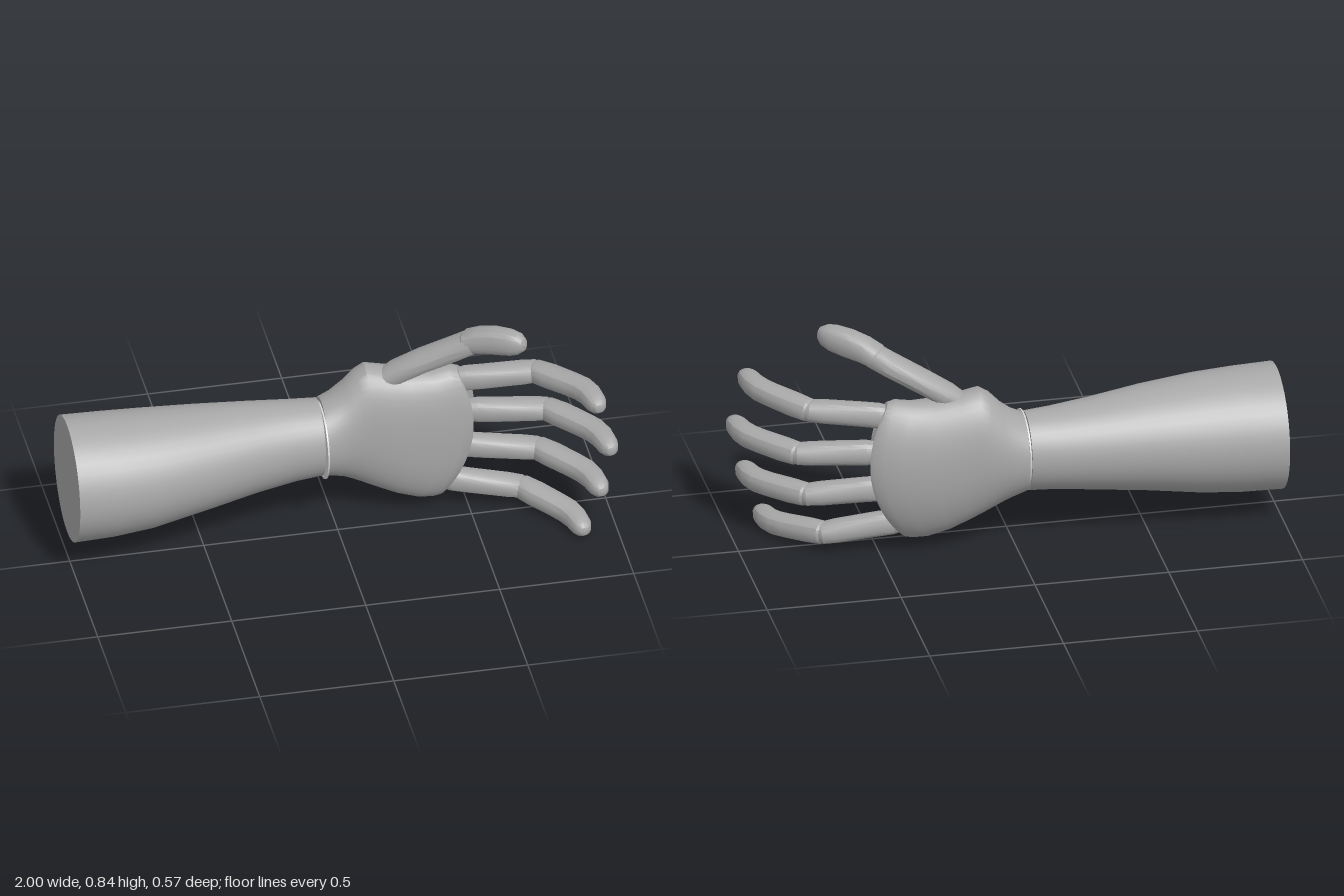
import * as THREE from 'three';
import { toCreasedNormals } from 'three/addons/utils/BufferGeometryUtils.js';

const V = (x, y, z) => new THREE.Vector3(x, y, z);

// Skin a list of rings (arrays of points running from +y towards +z) and cap both ends
function loft(rings, crease = 0.6) {
  const n = rings[0].length, pos = [], idx = [];
  rings.forEach(r => r.forEach(p => pos.push(p.x, p.y, p.z)));
  for (let i = 0; i < rings.length - 1; i++)
    for (let j = 0; j < n; j++) {
      const k = (j + 1) % n, a = i * n + j, b = i * n + k;
      idx.push(a, b, b + n, a, b + n, a + n);
    }
  [0, rings.length - 1].forEach((i, end) => {
    const c = V(0, 0, 0);
    rings[i].forEach(p => c.addScaledVector(p, 1 / n));
    const m = pos.length / 3;
    pos.push(c.x, c.y, c.z);
    for (let j = 0; j < n; j++) {
      const a = i * n + j, b = i * n + (j + 1) % n;
      if (end) idx.push(m, a, b); else idx.push(m, b, a);
    }
  });
  const g = new THREE.BufferGeometry();
  g.setAttribute('position', new THREE.Float32BufferAttribute(pos, 3));
  g.setIndex(idx);
  return toCreasedNormals(g.toNonIndexed(), crease);
}

// Unit superellipse, power 2 = round, higher = squarer; front and back halves may differ
function outline(n, front, back = front) {
  return Array.from({ length: n }, (_, j) => {
    const a = j / n * Math.PI * 2, c = Math.cos(a), s = Math.sin(a), e = 2 / (s > 0 ? front : back);
    return [Math.sign(c) * Math.abs(c) ** e, Math.sign(s) * Math.abs(s) ** e];
  });
}

// Section across x given its y and z limits
function section(x, y0, y1, z0, z1, front = 2, back = 2) {
  return outline(40, front, back).map(([c, s]) =>
    V(x, (y0 + y1) / 2 + c * (y1 - y0) / 2, (z0 + z1) / 2 + s * (z1 - z0) / 2));
}

// Limb along a path; each stop is [x, y, z, radius across, radius in depth]
function limb(stops) {
  const pts = stops.map(s => V(s[0], s[1], s[2]));
  const rings = stops.map((s, i) => {
    const t = pts[Math.min(i + 1, pts.length - 1)].clone().sub(pts[Math.max(i - 1, 0)]).normalize();
    const v = t.clone().cross(V(0, 1, 0)).normalize(), u = v.clone().cross(t);
    return outline(14, 2.4).map(([c, d]) =>
      pts[i].clone().addScaledVector(u, c * s[3]).addScaledVector(v, d * s[4]));
  });
  return loft(rings, 0.5);
}

export function createModel() {
  const model = new THREE.Group();
  const grey = new THREE.MeshStandardMaterial({ color: 0xa8a8a8 });
  grey.name = 'grey';
  const light = new THREE.MeshStandardMaterial({ color: 0xd4d4d4 });
  light.name = 'lightGrey';
  const add = (name, geo, parent = model, mat = grey) => {
    const m = new THREE.Mesh(geo, mat);
    m.name = name;
    parent.add(m);
  };

  // Forearm: x, y limits, z limits
  add('forearm', loft([
    [-1, 0.097, 0.567, -0.284, 0.189],
    [-0.85, 0.1, 0.563, -0.281, 0.182],
    [-0.7, 0.113, 0.556, -0.275, 0.167],
    [-0.5, 0.147, 0.54, -0.265, 0.128],
    [-0.3, 0.176, 0.52, -0.252, 0.075],
    [-0.15, 0.195, 0.506, -0.24, 0.045],
    [-0.05, 0.2, 0.5, -0.232, 0.03],
  ].map(s => section(...s))));

  // Thin disc in the wrist seam
  add('wristDisc', loft([-0.049, -0.043].map(x => section(x, 0.205, 0.495, -0.226, 0.068))), model, light);

  // Palm: position along the hand, y limits, z limits, squareness of the front half
  const palm = [
    [0, 0.2, 0.5, -0.232, 0.03, 2],
    [0.08, 0.187, 0.522, -0.234, 0.016, 2.1],
    [0.17, 0.172, 0.56, -0.237, 0.006, 2.2],
    [0.25, 0.154, 0.605, -0.24, 0.001, 2.3],
    [0.32, 0.138, 0.627, -0.241, 0, 2.4],
    [0.45, 0.108, 0.612, -0.238, 0, 2.5],
    [0.62, 0.073, 0.594, -0.23, 0, 2.7],
    [0.8, 0.048, 0.588, -0.212, -0.003, 2.8],
    [0.92, 0.044, 0.598, -0.192, -0.01, 2.8],
    [0.98, 0.048, 0.59, -0.177, -0.018, 2.8],
    [1, 0.056, 0.575, -0.166, -0.027, 2.8],
  ].map(([t, y0, y1, z0, z1, p]) => section(0, y0, y1, z0, z1, p, 2.1).map(q => {
    // Knuckle line bows forward in the middle, slants back at the little finger and under the palm
    const v = (q.y - y0) / (y1 - y0);
    const end = 0.42 + 0.07 * v + 0.34 * v * (1 - v) - 0.03 * (q.z - z0) / (z1 - z0);
    return V(-0.04 + t * (end + 0.04), q.y, q.z);
  }));
  add('palm', loft(palm, 0.7));

  // Fingers: name, shift along x, base height, tip height, depth scale
  [
    ['indexFinger', -0.043, 0.535, 0.583, 0.97],
    ['middleFinger', 0, 0.395, 0.395, 1],
    ['ringFinger', -0.033, 0.25, 0.213, 0.96],
    ['littleFinger', -0.095, 0.115, 0.038, 0.9],
  ].forEach(([name, dx, y0, y1, k]) => {
    const finger = new THREE.Group();
    finger.name = name;
    model.add(finger);
    const path = list => list.map(([x, z, r, d]) =>
      [x + dx, y0 + (y1 - y0) * (x - 0.48) / 0.47, z > 0 ? z * k : z, r, d]);
    add('lowerSegment', limb(path([
      [0.48, -0.098, 0.036, 0.03], [0.54, -0.089, 0.046, 0.042], [0.6, -0.077, 0.045, 0.044],
      [0.74, -0.053, 0.042, 0.049], [0.79, -0.044, 0.038, 0.047], [0.812, -0.035, 0.026, 0.03],
    ])), finger);
    add('upperSegment', limb(path([
      [0.774, -0.058, 0.028, 0.03], [0.79, -0.042, 0.041, 0.045], [0.832, 0.005, 0.043, 0.049],
      [0.897, 0.085, 0.042, 0.047], [0.929, 0.13, 0.042, 0.046], [0.949, 0.18, 0.04, 0.043],
      [0.959, 0.235, 0.037, 0.039], [0.963, 0.264, 0.029, 0.03], [0.965, 0.279, 0.017, 0.017],
      [0.966, 0.284, 0.004, 0.004],
    ])), finger);
  });

  // Thumb
  const thumb = new THREE.Group();
  thumb.name = 'thumb';
  model.add(thumb);
  add('lowerSegment', limb([
    [0.18, 0.56, -0.105, 0.036, 0.046], [0.24, 0.602, -0.094, 0.042, 0.054], [0.33, 0.655, -0.07, 0.042, 0.057],
    [0.44, 0.715, -0.034, 0.043, 0.056], [0.5, 0.75, -0.014, 0.043, 0.054], [0.52, 0.76, -0.006, 0.027, 0.033],
  ]), thumb);
  add('upperSegment', limb([
    [0.47, 0.737, -0.032, 0.03, 0.037], [0.49, 0.749, -0.02, 0.044, 0.052], [0.53, 0.768, 0.006, 0.049, 0.051],
    [0.58, 0.782, 0.04, 0.053, 0.048], [0.63, 0.791, 0.078, 0.05, 0.043], [0.656, 0.796, 0.1, 0.041, 0.035],
    [0.671, 0.799, 0.115, 0.025, 0.021], [0.677, 0.8, 0.12, 0.006, 0.006],
  ]), thumb);

  return model;
}
